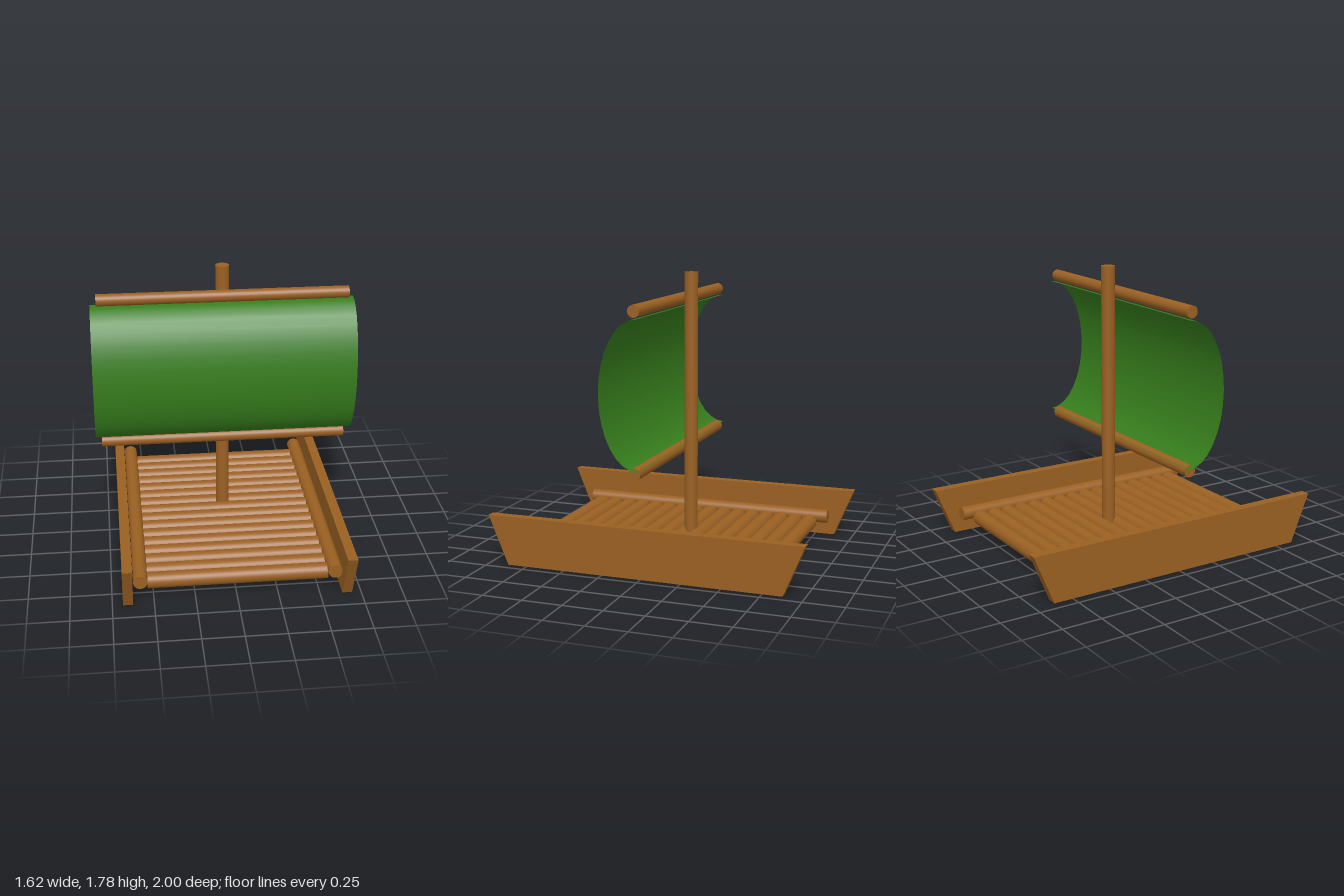
import * as THREE from 'three';

const wood = new THREE.MeshStandardMaterial({ color: 0x9a6022 });
const cloth = new THREE.MeshStandardMaterial({ color: 0x367d1c, side: THREE.DoubleSide });

export function createModel() {
  const raft = new THREE.Group();
  raft.name = 'raft';

  const add = (name, geometry, material, parent = raft) => {
    const mesh = new THREE.Mesh(geometry, material);
    mesh.name = name;
    parent.add(mesh);
    return mesh;
  };

  // Round pole along one axis, running from 'from' to 'to' on that axis
  const pole = (name, axis, radius, from, to, x, y, z, parent) => {
    const geometry = new THREE.CylinderGeometry(radius, radius, to - from, 32);
    if (axis === 'x') geometry.rotateZ(Math.PI / 2);
    if (axis === 'z') geometry.rotateX(Math.PI / 2);
    const mesh = add(name, geometry, wood, parent);
    mesh.position.set(x, y, z);
    mesh.position[axis] = (from + to) / 2;
    return mesh;
  };

  // Deck of logs laid crosswise, the front two set slightly apart
  const deck = new THREE.Group();
  deck.name = 'deck';
  raft.add(deck);
  for (let i = 0; i < 16; i++) {
    const z = -0.725 + i * 0.0989 + (i > 13 ? 0.007 : 0);
    pole('deckLog', 'x', 0.049, -0.535, 0.558, 0, 0.097, z, deck);
  }

  // Long poles beside the deck
  pole('rightSidePole', 'z', 0.043, -0.84, 0.845, -0.579, 0.133, 0);
  pole('leftSidePole', 'z', 0.043, -0.84, 0.845, 0.596, 0.133, 0);

  // Tapered side boards, drawn in the z-y plane and extruded across x
  const outline = new THREE.Shape();
  outline.moveTo(-0.873, 0);
  outline.lineTo(0.873, 0);
  outline.lineTo(1, 0.307);
  outline.lineTo(-1, 0.307);
  outline.closePath();
  const board = new THREE.ExtrudeGeometry(outline, { depth: 0.06, bevelEnabled: false });
  board.translate(0, 0, -0.03);
  board.rotateY(-Math.PI / 2);
  add('rightSideBoard', board, wood).position.x = -0.657;
  add('leftSideBoard', board, wood).position.x = 0.665;

  // Mast and the two yards in front of it
  pole('mast', 'y', 0.042, 0.1, 1.777, 0.003, 0, -0.08);
  pole('upperYard', 'x', 0.037, -0.772, 0.775, 0, 1.607, 0);
  pole('lowerYard', 'x', 0.037, -0.772, 0.775, 0, 0.659, 0);

  // Billowing sail: half of an elliptical tube, bulging forward
  const sail = new THREE.CylinderGeometry(1, 1, 1.62, 16, 1, true, -Math.PI / 2, Math.PI);
  sail.rotateZ(Math.PI / 2);
  sail.scale(1, 0.442, 0.24);
  add('sail', sail, cloth).position.set(0, 1.124, -0.033);

  return raft;
}
